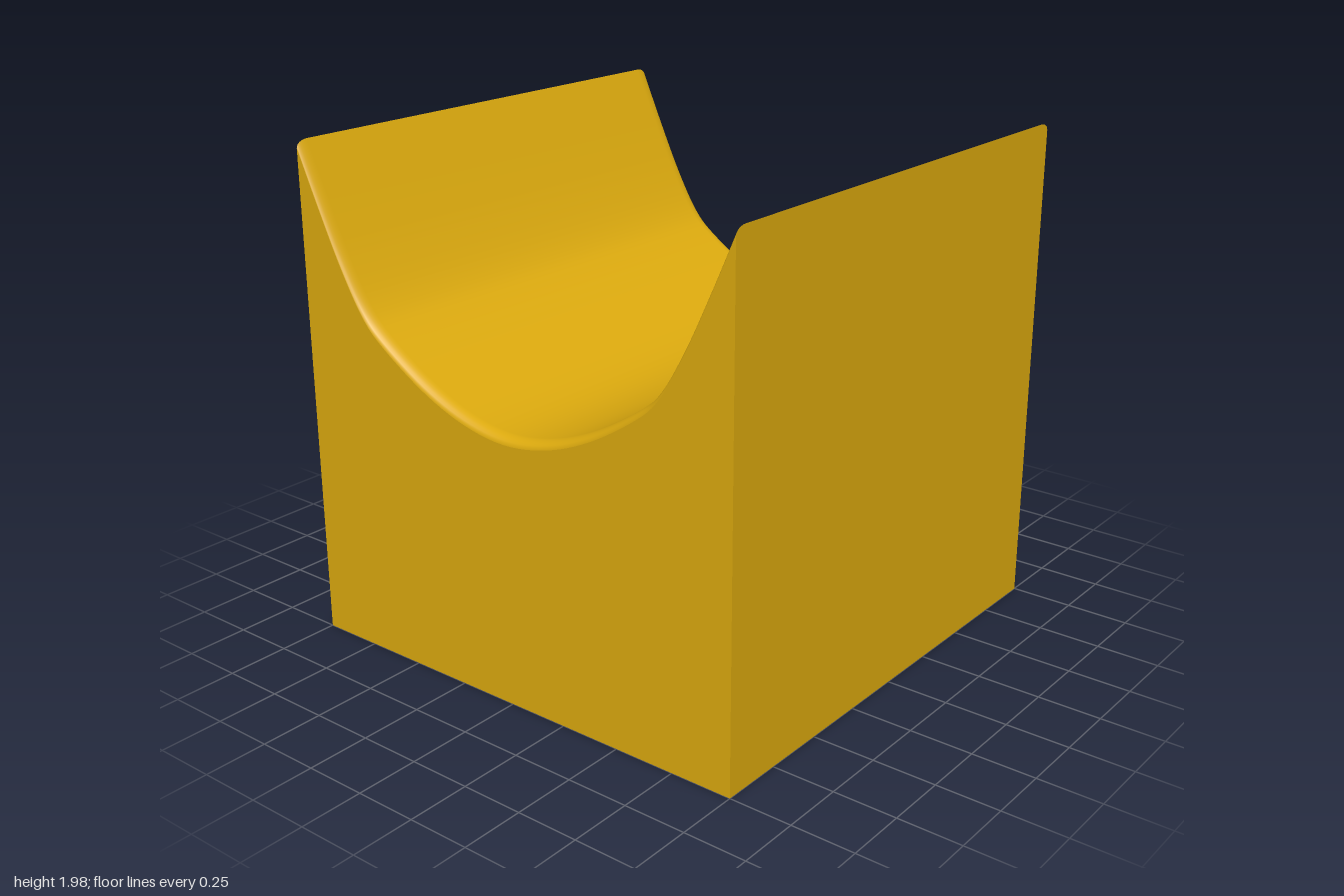
import * as THREE from 'three';

const HEIGHT = 1.98;
const RIM_DEPTH = 0.05, RIM_DROP = 0.03, RIM_STEPS = 6;

// Right half of the trough profile, mirrored into one smooth curve
const half = [[0.2, 1.09], [0.4, 1.17], [0.6, 1.295], [0.7, 1.39], [0.8, 1.555], [0.9, 1.76], [1, HEIGHT]];
const profile = new THREE.SplineCurve([
  ...half.map(([x, y]) => new THREE.Vector2(-x, y)).reverse(),
  new THREE.Vector2(0, 1.06),
  ...half.map(([x, y]) => new THREE.Vector2(x, y)),
]);

// Depth stations: closely spaced where the rim rounds over at each end
function depthStations() {
  const front = [];
  for (let i = 0; i <= RIM_STEPS; i++) {
    const a = (i / RIM_STEPS) * Math.PI / 2;
    front.push({ z: 1 - RIM_DEPTH * (1 - Math.cos(a)), drop: RIM_DROP * (1 - Math.sin(a)) });
  }
  return [...front.map(({ z, drop }) => ({ z: -z, drop })), ...front.reverse()];
}

export function createModel() {
  const group = new THREE.Group();
  group.name = 'cradleBlock';

  const stations = depthStations();
  const depthSegments = stations.length - 1;
  const geometry = new THREE.BoxGeometry(2, 2, 2, 84, 1, depthSegments);
  const pos = geometry.attributes.position;

  // Bend the top of the box into the trough; separate faces keep the outer edges sharp
  for (let i = 0; i < pos.count; i++) {
    const p = profile.getPoint((pos.getX(i) + 1) / 2);
    const { z, drop } = stations[Math.round((pos.getZ(i) + 1) / 2 * depthSegments)];
    pos.setXYZ(i, p.x, pos.getY(i) > 0 ? p.y - drop : 0, z);
  }
  geometry.computeVertexNormals();

  const block = new THREE.Mesh(geometry, new THREE.MeshStandardMaterial({ color: 0xdcaa0e }));
  block.name = 'troughBlock';
  group.add(block);
  return group;
}
